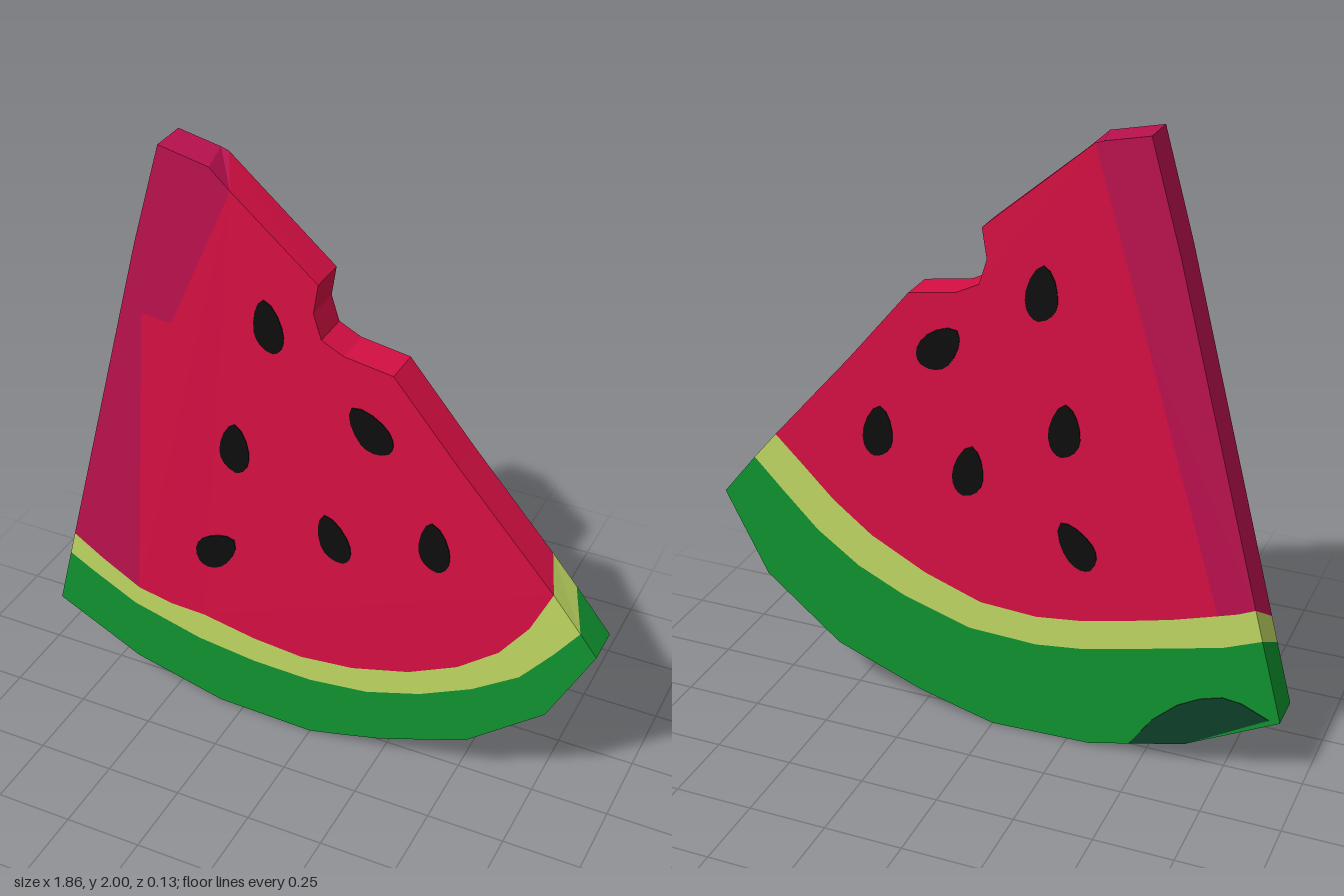
import * as THREE from 'three';

const mat = (name, color) => {
  const m = new THREE.MeshStandardMaterial({ color });
  m.name = name;
  return m;
};

const HALF = 0.06; // half the slice thickness

// Solid joining a front contour to a back contour (same point count, counterclockwise from the front)
function slab(front, back) {
  const pos = [];
  const v = ([x, y], z) => pos.push(x, y, z);
  const cap = (pts, z, flip) => {
    const tris = THREE.ShapeUtils.triangulateShape(pts.map(p => new THREE.Vector2(...p)), []);
    for (const [a, b, c] of tris) for (const i of flip ? [a, c, b] : [a, b, c]) v(pts[i], z);
  };
  cap(front, HALF, false);
  cap(back, -HALF, true);
  front.forEach((f0, i) => {
    const j = (i + 1) % front.length;
    v(f0, HALF); v(back[i], -HALF); v(back[j], -HALF);
    v(f0, HALF); v(back[j], -HALF); v(front[j], HALF);
  });
  const g = new THREE.BufferGeometry();
  g.setAttribute('position', new THREE.Float32BufferAttribute(pos, 3));
  g.computeVertexNormals();
  return g;
}

// Outline pieces shared by both faces
const skin = [[-0.93, 0.24], [-0.64, 0.09], [-0.33, 0.01], [0, 0], [0.1, 0.025],
  [0.25, 0.065], [0.54, 0.175], [0.79, 0.38], [0.93, 0.655]];
const biteEdge = [[0.47, 1.195], [0.265, 1.44], [0.11, 1.465], [0.04, 1.5], [0.015, 1.58], [0.03, 1.675]];

// Colour boundaries on each face, left to right; "shade" runs from top to bottom
const frontFace = {
  lower: [[-0.877, 0.445], [-0.8, 0.4], [-0.64, 0.315], [-0.4, 0.25], [-0.2, 0.225], [0, 0.22],
    [0.2, 0.245], [0.38, 0.305], [0.55, 0.39], [0.7, 0.495], [0.8, 0.62], [0.875, 0.725]],
  upper: [[-0.855, 0.53], [-0.75, 0.46], [-0.62, 0.385], [-0.5, 0.36], [-0.38, 0.355], [-0.2, 0.32],
    [-0.03, 0.305], [0.15, 0.325], [0.34, 0.38], [0.5, 0.46], [0.63, 0.565], [0.72, 0.69], [0.785, 0.838]],
  shade: [[-0.24, 1.905], [-0.45, 1.43], [-0.55, 1.44]],
  tip: [[-0.305, 1.965], [-0.465, 2], [-0.56, 1.67]],
};
const backFace = {
  lower: [[-0.86, 0.51], [-0.74, 0.46], [-0.6, 0.425], [-0.445, 0.385], [-0.3, 0.35], [-0.146, 0.33],
    [0.077, 0.338], [0.3, 0.405], [0.46, 0.48], [0.6, 0.58], [0.72, 0.7], [0.815, 0.798]],
  upper: [[-0.834, 0.61], [-0.78, 0.585], [-0.72, 0.565], [-0.58, 0.52], [-0.445, 0.485], [-0.3, 0.45],
    [-0.146, 0.43], [0.04, 0.44], [0.227, 0.505], [0.41, 0.6], [0.54, 0.7], [0.64, 0.8], [0.735, 0.893]],
  shade: [[-0.305, 1.963], [-0.464, 1.43], [-0.5, 1.307]],
  tip: [[-0.33, 1.971], [-0.465, 2], [-0.56, 1.67]],
};

const rev = a => [...a].reverse();
const layers = {
  rind: f => [...skin, ...rev(f.lower)],
  paleRind: f => [...f.lower, ...rev(f.upper)],
  flesh: f => [...f.upper.slice(2), ...biteEdge, ...f.shade],
  shadedFlesh: f => [...f.upper.slice(0, 3), ...rev(f.shade), ...f.tip],
};

// Seeds: x, y, tilt in degrees, width
const frontSeeds = [[-0.13, 1.5, 8, 0.095], [0.195, 1.235, 42, 0.11], [-0.25, 1.045, -2, 0.1],
  [0.08, 0.81, 20, 0.1], [0.408, 0.885, 6, 0.1], [-0.325, 0.637, -48, 0.11]];
const backSeeds = [[-0.155, 1.5, 4, 0.1], [0.167, 1.28, 42, 0.11], [-0.23, 1.08, 2, 0.1],
  [0.376, 0.97, 6, 0.1], [0.077, 0.89, 8, 0.1], [-0.273, 0.705, -36, 0.1]];

// Thin teardrop plate, pointed end up
function seedGeometry(width) {
  const w = width / 2;
  const s = new THREE.Shape();
  s.moveTo(0, 0.087);
  s.bezierCurveTo(w * 0.7, 0.08, w * 1.1, 0, w, -0.03);
  s.bezierCurveTo(w * 0.9, -0.07, w * 0.5, -0.085, 0.005, -0.087);
  s.bezierCurveTo(-w * 0.6, -0.08, -w, -0.05, -w, -0.02);
  s.bezierCurveTo(-w, 0.02, -w * 0.6, 0.08, 0, 0.087);
  return new THREE.ExtrudeGeometry(s, { depth: 0.006, bevelEnabled: false, curveSegments: 4 });
}

export function createModel() {
  const model = new THREE.Group();
  model.name = 'melonSlice';
  const mats = {
    rind: mat('rindGreen', 0x10932f),
    paleRind: mat('paleGreen', 0xbfd762),
    flesh: mat('fleshRed', 0xd60f43),
    shadedFlesh: mat('deepPink', 0xbb114e),
  };
  const seedMat = mat('seedBlack', 0x0d0d0d);
  const patchMat = mat('darkGreen', 0x0f3f2a);

  const add = (name, geometry, material, parent = model) => {
    const mesh = new THREE.Mesh(geometry, material);
    mesh.name = name;
    parent.add(mesh);
    return mesh;
  };

  // Rind, pale rind and flesh
  for (const [name, contour] of Object.entries(layers))
    add(name, slab(contour(frontFace), contour(backFace)), mats[name]);

  // Seeds on both faces
  const seeds = new THREE.Group();
  seeds.name = 'seeds';
  model.add(seeds);
  for (const [list, z] of [[frontSeeds, HALF - 0.003], [backSeeds, -HALF - 0.003]])
    for (const [x, y, tilt, width] of list) {
      const seed = add('seed', seedGeometry(width), seedMat, seeds);
      seed.position.set(x, y, z);
      seed.rotation.z = THREE.MathUtils.degToRad(tilt);
    }

  // Dark patch on the back of the rind
  const patch = new THREE.Shape([[-0.895, 0.243], [-0.64, 0.091], [-0.46, 0.045], [-0.53, 0.15], [-0.61, 0.225],
    [-0.68, 0.265], [-0.75, 0.287], [-0.81, 0.28]].map(p => new THREE.Vector2(...p)));
  add('rindPatch', new THREE.ExtrudeGeometry(patch, { depth: 0.006, bevelEnabled: false }), patchMat)
    .position.z = -HALF - 0.003;

  return model;
}
